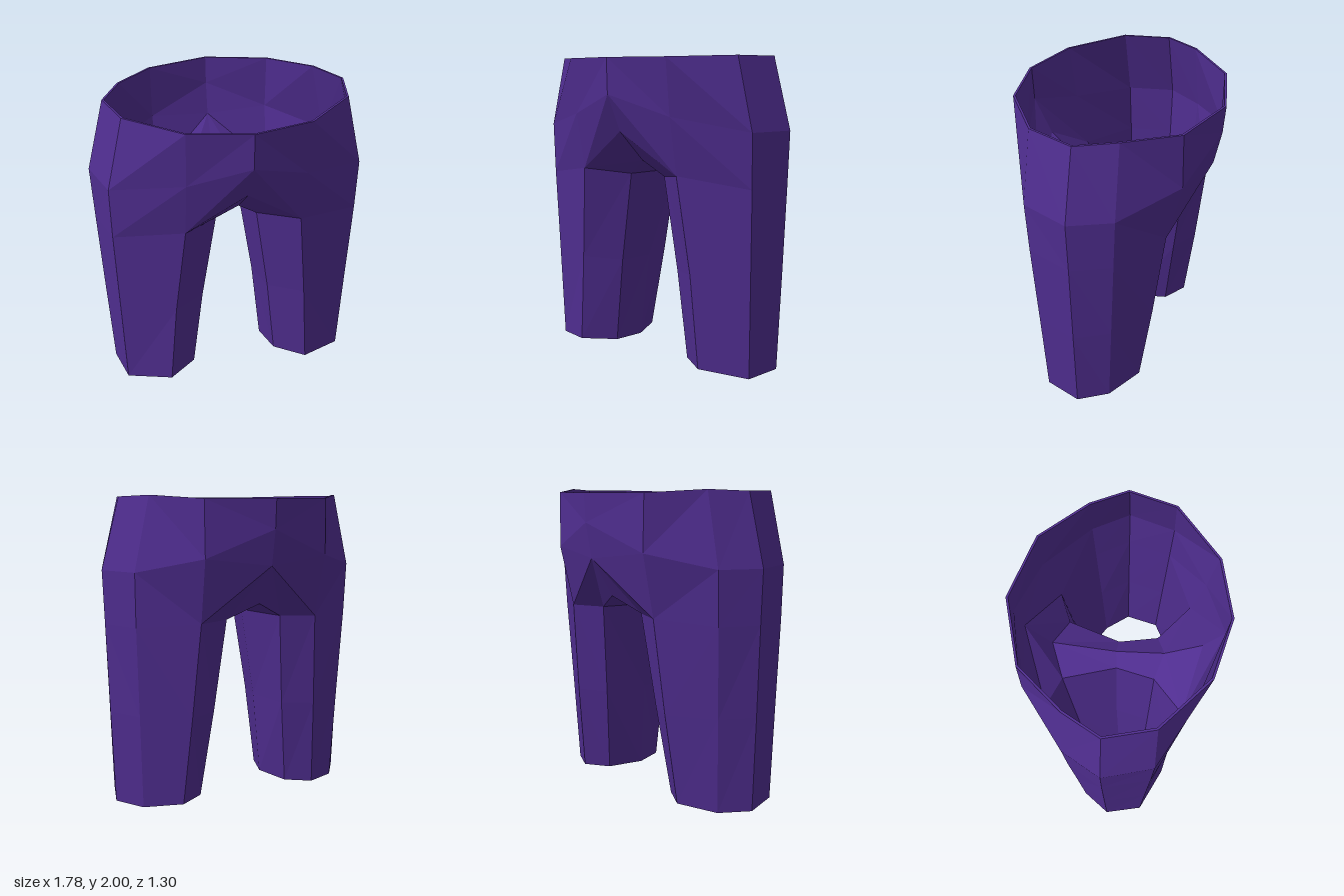
import * as THREE from 'three';

const THICKNESS = 0.014;

// Left half of the garment; every ring runs from the front, round the outside, to the back
const waist = [[0, 1.98, 0.65], [0.37, 1.98, 0.56], [0.69, 1.99, 0.28], [0.77, 1.99, -0.02],
  [0.65, 2, -0.25], [0.41, 1.98, -0.53], [0, 1.98, -0.65]];
const hip = [[0, 1.76, 0.645], [0.37, 1.63, 0.52], [0.8, 1.54, 0.29], [0.89, 1.54, -0.02],
  [0.755, 1.54, -0.265], [0.41, 1.63, -0.54], [0, 1.8, -0.64]];
// Centre seam under the body, front to back
const seam = [[0, 1.53, 0.53], [0, 1.33, 0.3], [0, 1.28, -0.02], [0, 1.33, -0.44], [0, 1.58, -0.6]];
// Leg rings continue from the back round the inside of the thigh
const thigh = [[0.37, 1.27, 0.45], [0.8, 1.2, 0.28], [0.88, 1.2, -0.02], [0.75, 1.2, -0.25],
  [0.4, 1.23, -0.45], [0.19, 1.23, -0.36], [0.08, 1.23, -0.01], [0.135, 1.23, 0.25]];
const knee = [[0.44, 0.65, 0.4], [0.79, 0.62, 0.26], [0.862, 0.62, -0.015], [0.73, 0.62, -0.22],
  [0.44, 0.62, -0.39], [0.25, 0.62, -0.29], [0.18, 0.62, 0], [0.23, 0.62, 0.235]];
const hem = [[0.49, 0.045, 0.38], [0.78, 0, 0.24], [0.84, 0, -0.01], [0.71, 0, -0.19],
  [0.48, 0.03, -0.32], [0.32, 0.03, -0.22], [0.245, 0.03, 0.02], [0.3, 0.03, 0.22]];

// One half as a thin shell: outer skin, inner skin and the rims between them
function halfGeometry(side) {
  const points = [], faces = [], rims = [];
  const add = (ring) => ring.map(([x, y, z]) => points.push(new THREE.Vector3(x, y, z)) - 1);
  const [W, H, S, T, K, E] = [waist, hip, seam, thigh, knee, hem].map(add);
  const quad = (a, b, c, d) => faces.push([a, b, c], [a, c, d]);

  // Waistband down to the hips
  for (let i = 0; i < 6; i++) {
    quad(W[i], H[i], H[i + 1], W[i + 1]);
    rims.push([W[i], W[i + 1]]);
  }
  // Hips down to the thighs and the seam ends
  const below = [S[0], T[0], T[1], T[2], T[3], T[4], S[4]];
  for (let i = 0; i < 6; i++) quad(H[i], below[i], below[i + 1], H[i + 1]);
  // Crotch gusset
  const inner = [T[0], T[7], T[6], T[5], T[4]];
  for (let i = 0; i < 4; i++) quad(inner[i], S[i], S[i + 1], inner[i + 1]);
  // Leg tube
  for (let i = 0; i < 8; i++) {
    const j = (i + 1) % 8;
    quad(T[i], K[i], K[j], T[j]);
    quad(K[i], E[i], E[j], K[j]);
    rims.push([E[j], E[i]]);
  }

  // Inner skin: move each corner inwards along its averaged normal
  const normals = points.map(() => new THREE.Vector3());
  for (const f of faces) {
    const [a, b, c] = f.map((i) => points[i]);
    const n = b.clone().sub(a).cross(c.clone().sub(a));
    f.forEach((i) => normals[i].add(n));
  }
  const count = points.length;
  for (let i = 0; i < count; i++) {
    const n = normals[i];
    if (points[i].x === 0) n.x = 0;
    if (W.includes(i) || E.includes(i)) n.y = 0;
    points.push(points[i].clone().addScaledVector(n.normalize(), -THICKNESS));
  }
  const skin = faces.slice();
  for (const [a, b, c] of skin) faces.push([a + count, c + count, b + count]);
  for (const [a, b] of rims) quad(a, b, b + count, a + count);

  const position = [];
  for (const [a, b, c] of faces) {
    for (const i of side > 0 ? [a, b, c] : [a, c, b]) {
      position.push(points[i].x * side, points[i].y, points[i].z);
    }
  }
  const geometry = new THREE.BufferGeometry();
  geometry.setAttribute('position', new THREE.Float32BufferAttribute(position, 3));
  geometry.computeVertexNormals();
  return geometry;
}

export function createModel() {
  const group = new THREE.Group();
  group.name = 'shorts';
  const cloth = new THREE.MeshStandardMaterial({
    color: 0x4f2d8f, flatShading: true, side: THREE.DoubleSide,
  });
  for (const [name, side] of [['leftHalf', 1], ['rightHalf', -1]]) {
    const mesh = new THREE.Mesh(halfGeometry(side), cloth);
    mesh.name = name;
    group.add(mesh);
  }
  return group;
}
